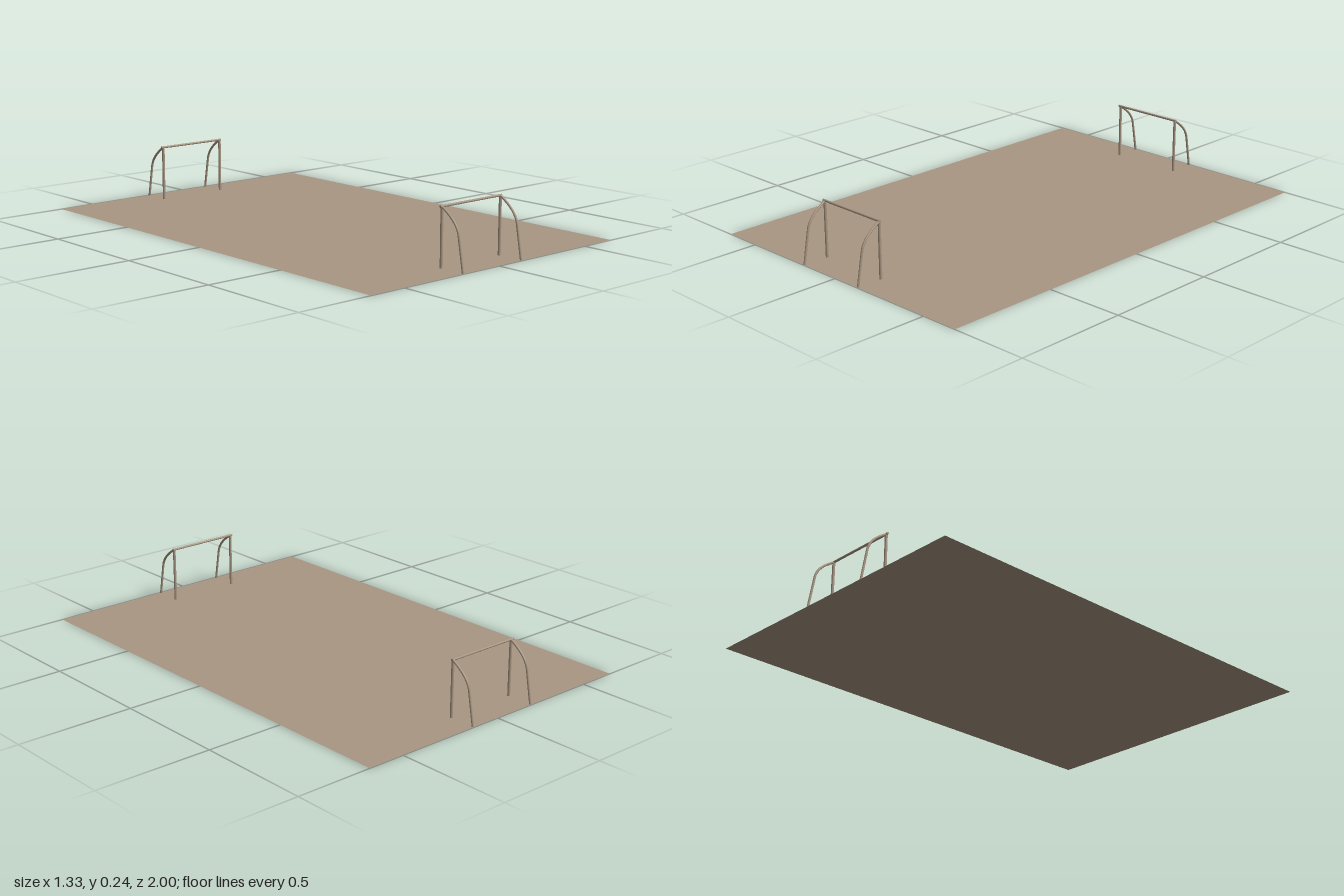
import * as THREE from 'three';

const material = new THREE.MeshStandardMaterial({ color: 0xa89682 });
const LEFT = 0.13, RIGHT = -0.191; // post positions, slightly off centre
const GOAL_Z = 0.881, BAR_Y = 0.238;

function add(group, name, geometry, mat = material) {
  const mesh = new THREE.Mesh(geometry, mat);
  mesh.name = name;
  group.add(mesh);
  return mesh;
}

// Bent rear support: straight leg, then an arc up to the crossbar
function stayPath(x, s) {
  const v = (y, z) => new THREE.Vector3(x, y, s * z);
  const path = new THREE.CurvePath();
  path.add(new THREE.LineCurve3(v(0, 0.995), v(0.14, 0.97)));
  path.add(new THREE.CubicBezierCurve3(v(0.14, 0.97), v(0.175, 0.963), v(0.205, 0.935), v(BAR_Y - 0.001, GOAL_Z)));
  return path;
}

// s is the end of the field the goal stands at: +1 front, -1 back
function createGoal(s) {
  const goal = new THREE.Group();
  goal.name = s > 0 ? 'frontGoal' : 'backGoal';
  for (const [side, x] of [['left', LEFT], ['right', RIGHT]]) {
    add(goal, side + 'Post', new THREE.CylinderGeometry(0.006, 0.006, BAR_Y, 12))
      .position.set(x, BAR_Y / 2, s * GOAL_Z);
    add(goal, side + 'Stay', new THREE.TubeGeometry(stayPath(x, s), 24, 0.005, 10));
  }
  // Crossbar, overhanging the right post a little
  const x0 = -0.201, x1 = 0.136;
  const bar = add(goal, 'crossbar', new THREE.CylinderGeometry(0.005, 0.005, x1 - x0, 12));
  bar.rotation.z = Math.PI / 2;
  bar.position.set((x0 + x1) / 2, BAR_Y, s * GOAL_Z);
  return goal;
}

export function createModel() {
  const model = new THREE.Group();
  model.name = 'playingField';

  // Flat pitch, seen from above and below
  const pitchMaterial = material.clone();
  pitchMaterial.side = THREE.DoubleSide;
  add(model, 'pitch', new THREE.PlaneGeometry(1.33, 2).rotateX(-Math.PI / 2), pitchMaterial);

  for (const s of [1, -1]) model.add(createGoal(s));
  return model;
}
